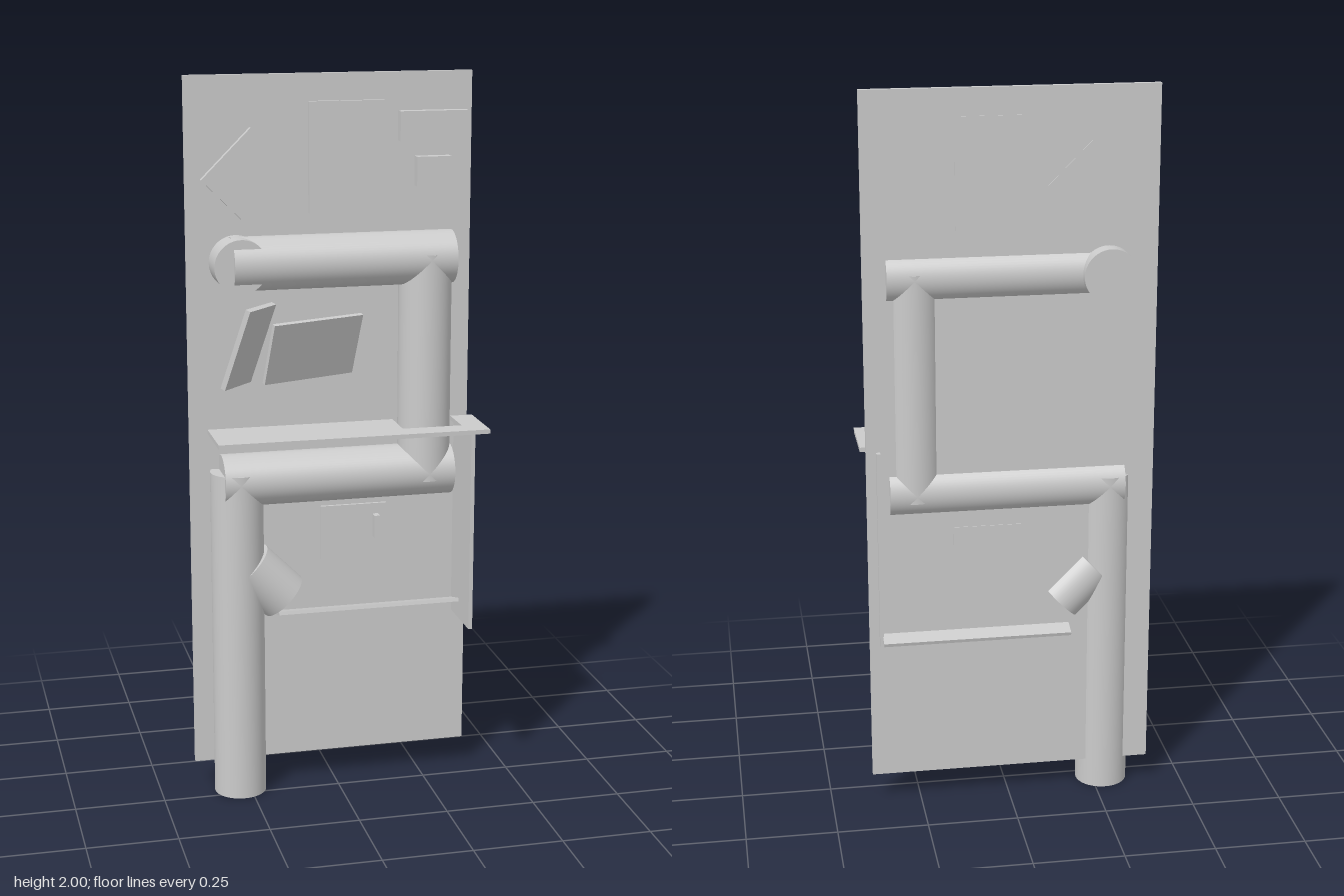
import * as THREE from 'three';

const grey = new THREE.MeshStandardMaterial({ color: 0xcccccc });
const R = 0.0725; // pipe radius
const PZ = -0.035; // depth of the pipe centre lines

function add(group, name, geometry) {
  const mesh = new THREE.Mesh(geometry, grey);
  mesh.name = name;
  group.add(mesh);
  return mesh;
}

// Box given by its extents
function box(group, name, [x0, x1], [y0, y1], [z0, z1]) {
  const mesh = add(group, name, new THREE.BoxGeometry(x1 - x0, y1 - y0, z1 - z0));
  mesh.position.set((x0 + x1) / 2, (y0 + y1) / 2, (z0 + z1) / 2);
  return mesh;
}

// Closed cylinder between two points
function pipe(group, name, from, to) {
  const a = new THREE.Vector3(...from);
  const b = new THREE.Vector3(...to);
  const dir = b.clone().sub(a);
  const mesh = add(group, name, new THREE.CylinderGeometry(R, R, dir.length(), 64));
  mesh.position.copy(a).add(b).multiplyScalar(0.5);
  mesh.quaternion.setFromUnitVectors(new THREE.Vector3(0, 1, 0), dir.normalize());
}

// Plate hung from its top left front corner, turned and leaning forward
function leaningPlate(group, name, w, h, t, corner, yaw, pitch) {
  const mesh = add(group, name, new THREE.BoxGeometry(w, h, t).translate(w / 2, -h / 2, -t / 2));
  mesh.position.set(...corner);
  mesh.rotation.set(pitch, yaw, 0, 'YXZ');
}

export function createModel() {
  const model = new THREE.Group();
  model.name = 'pipePanel';

  // Back board
  box(model, 'backBoard', [-0.4, 0.385], [0.08, 2], [-0.083, -0.068]);

  // Zigzag pipe run through the board
  const pipes = new THREE.Group();
  pipes.name = 'pipes';
  model.add(pipes);
  pipe(pipes, 'lowerVerticalPipe', [-0.2775, 0, PZ], [-0.2775, 0.935, PZ]);
  pipe(pipes, 'lowerHorizontalPipe', [-0.32, 0.91, PZ], [0.323, 0.91, PZ]);
  pipe(pipes, 'upperVerticalPipe', [0.25, 0.89, PZ], [0.25, 1.52, PZ]);
  pipe(pipes, 'upperHorizontalPipe', [-0.287, 1.505, PZ], [0.323, 1.505, PZ]);
  pipe(pipes, 'wallPipe', [-0.267, 1.505, -0.13], [-0.267, 1.505, 0.02]);
  pipe(pipes, 'branchSpout', [-0.247, 0.664, PZ], [-0.15, 0.567, PZ]);

  // Shelf with a cut-out around the upper vertical pipe (shape y is -z)
  const outline = new THREE.Shape([
    [-0.35, -0.105], [0.4, -0.105], [0.4, 0.07], [0.337, 0.07],
    [0.337, -0.043], [0.17, -0.043], [0.17, 0.07], [-0.35, 0.07],
  ].map(([x, y]) => new THREE.Vector2(x, y)));
  const shelf = add(model, 'shelf', new THREE.ExtrudeGeometry(outline, { depth: 0.012, bevelEnabled: false }));
  shelf.rotation.x = -Math.PI / 2;
  shelf.position.y = 1.035;

  // Side wall and tilted rail below the shelf
  box(model, 'sideWall', [0.347, 0.358], [0.475, 1.035], [-0.097, 0.105]);
  const rail = box(model, 'tiltedRail', [-0.17, 0.35], [0.505, 0.515], [-0.128, 0.008]);
  rail.rotation.x = -0.28;

  // Small door with handle
  box(model, 'door', [-0.037, 0.152], [0.655, 0.81], [-0.085, -0.06]);
  box(model, 'doorHandle', [0.112, 0.128], [0.715, 0.78], [-0.06, -0.035]);

  // Blocks on the upper board
  box(model, 'tallBlock', [-0.067, 0.14], [1.63, 1.927], [-0.085, -0.055]);
  box(model, 'wideBlock', [0.18, 0.368], [1.817, 1.897], [-0.07, -0.04]);
  box(model, 'smallBlock', [0.227, 0.322], [1.695, 1.775], [-0.07, -0.04]);
  const diamond = box(model, 'diamondBlock', [-0.3275, -0.1375], [1.65, 1.82], [-0.085, -0.05]);
  diamond.rotation.z = Math.PI / 4;

  // Two plates leaning forward under the upper pipe
  leaningPlate(model, 'leftLeaningPlate', 0.125, 0.235, 0.015, [-0.265, 1.405, 0.125], 0.8, 0.36);
  leaningPlate(model, 'rightLeaningPlate', 0.28, 0.178, 0.012, [-0.192, 1.357, 0.086], 0.35, 0.31);

  return model;
}
